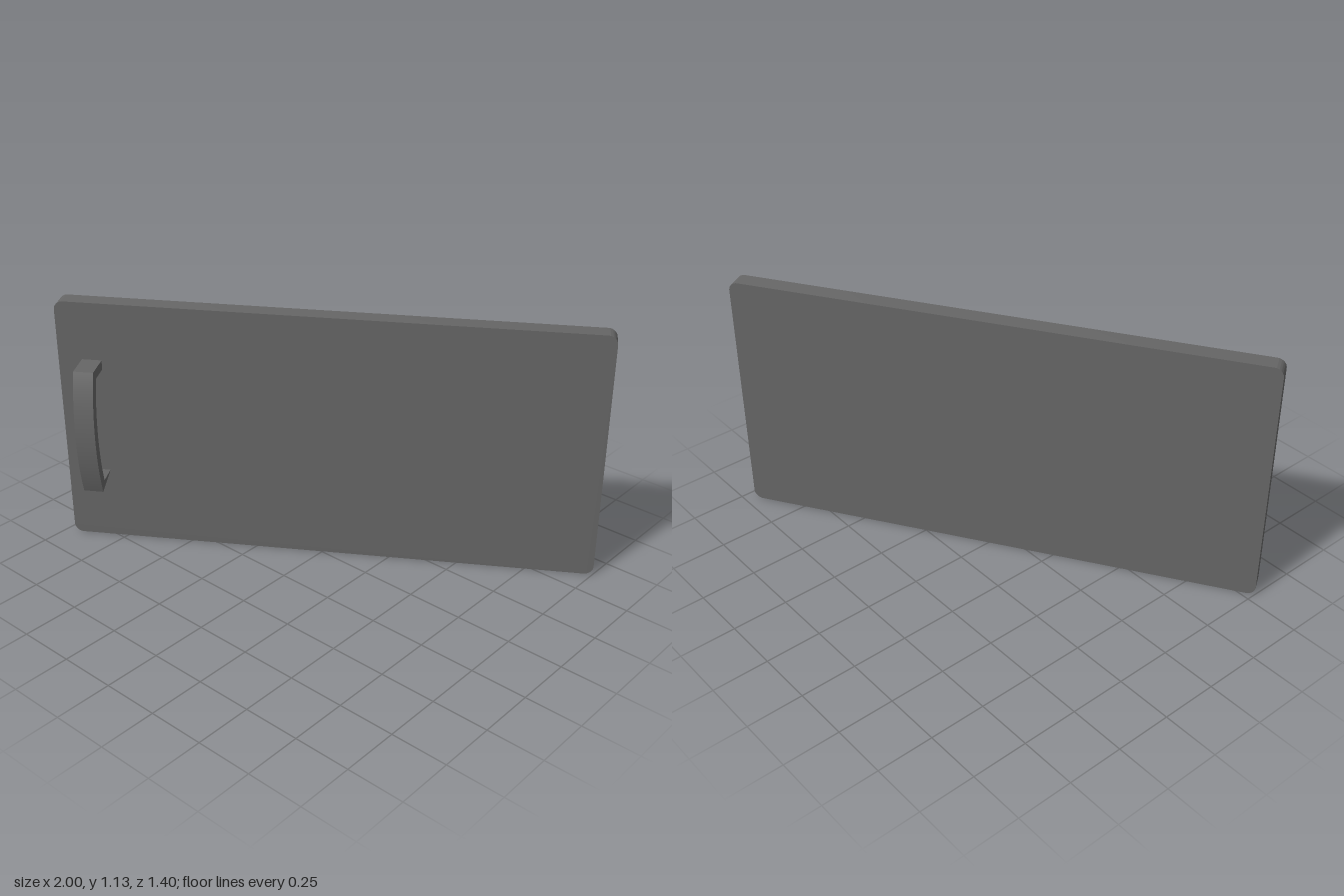
import * as THREE from 'three';
import { toCreasedNormals } from 'three/addons/utils/BufferGeometryUtils.js';

const LENGTH = 2.322, HEIGHT = 1.13, THICK = 0.076, RADIUS = 0.04;
const SWING = 0.566; // how far the door stands open, in radians

function extrude(shape, depth) {
  const geo = new THREE.ExtrudeGeometry(shape, { depth, bevelEnabled: false, curveSegments: 16 });
  return geo;
}

// Door slab outline with small rounded corners
function slabShape() {
  const x = LENGTH / 2, h = HEIGHT, r = RADIUS, q = Math.PI / 2;
  const s = new THREE.Shape();
  s.absarc(x - r, r, r, -q, 0);
  s.absarc(x - r, h - r, r, 0, q);
  s.absarc(-x + r, h - r, r, q, 2 * q);
  s.absarc(-x + r, r, r, 2 * q, 3 * q);
  s.closePath();
  return s;
}

// Side profile of the bow handle: x is the distance out from the door centre plane
function handleShape() {
  const half = 0.288, leg = 0.042, peak = 0.207, bar = 0.041;
  const outerR = 0.909, innerR = outerR - bar, cx = peak - outerR;
  const a = Math.asin(half / outerR), b = Math.asin((half - leg) / innerR);
  const base = THICK / 2 - 0.005;
  const s = new THREE.Shape();
  s.moveTo(base, -half);
  s.absarc(cx, 0, outerR, -a, a, false);
  s.lineTo(base, half);
  s.lineTo(base, half - leg);
  s.absarc(cx, 0, innerR, b, -b, true);
  s.lineTo(base, -half + leg);
  s.closePath();
  return s;
}

export function createModel() {
  const grey = new THREE.MeshStandardMaterial({ color: 0x666666 });
  grey.name = 'dark grey';

  const door = new THREE.Group();
  door.name = 'door';

  // Slab
  const slabGeo = extrude(slabShape(), THICK).translate(0, 0, -THICK / 2);
  const slab = new THREE.Mesh(toCreasedNormals(slabGeo, 0.5), grey);
  slab.name = 'doorPanel';

  // Handle near the free edge, on the front face
  const handleGeo = extrude(handleShape(), 0.086).rotateY(-Math.PI / 2);
  const handle = new THREE.Mesh(toCreasedNormals(handleGeo, 0.3), grey);
  handle.name = 'handle';
  handle.position.set(-0.972, 0.581, 0);

  door.add(slab, handle);
  door.rotation.y = SWING;
  door.position.z = -0.048;

  const model = new THREE.Group();
  model.name = 'openDoor';
  model.add(door);
  return model;
}
